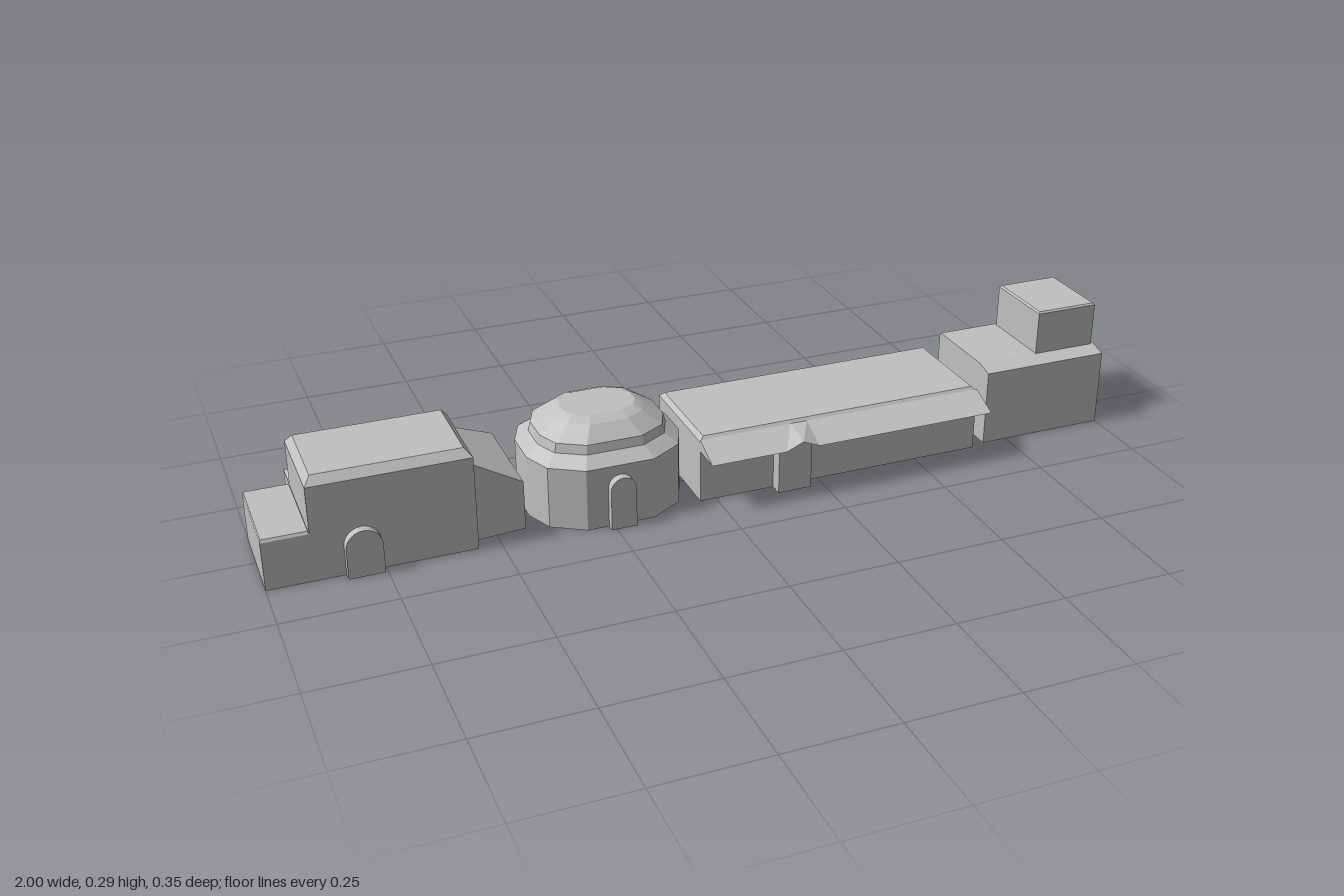
import * as THREE from 'three';

const stone = new THREE.MeshStandardMaterial({ color: 0xc0c0c0, side: THREE.DoubleSide, flatShading: true });
stone.name = 'grey stone';

// Flat-faced mesh from a list of convex polygons, corners counter-clockwise from outside
function faces(name, polygons) {
  const pos = [];
  for (const p of polygons)
    for (let i = 1; i < p.length - 1; i++) pos.push(...p[0], ...p[i], ...p[i + 1]);
  const g = new THREE.BufferGeometry();
  g.setAttribute('position', new THREE.Float32BufferAttribute(pos, 3));
  g.computeVertexNormals();
  const mesh = new THREE.Mesh(g, stone);
  mesh.name = name;
  return mesh;
}

// Open-bottomed shell through a stack of matching rings, capped on top
function loft(name, rings) {
  const polys = [];
  for (let r = 0; r < rings.length - 1; r++) {
    const lo = rings[r], hi = rings[r + 1];
    lo.forEach((a, i) => {
      const j = (i + 1) % lo.length;
      polys.push([a, lo[j], hi[j], hi[i]]);
    });
  }
  polys.push(rings[rings.length - 1]);
  return faces(name, polys);
}

const rect = (x0, x1, z0, z1, y) => [[x0, y, z1], [x1, y, z1], [x1, y, z0], [x0, y, z0]];

// Block with a bevelled top edge; bevel sizes in x, back, front and height
function block(name, x0, x1, z0, z1, top, bx, bb, bf, by) {
  return loft(name, [
    rect(x0, x1, z0, z1, 0),
    rect(x0, x1, z0, z1, top - by),
    rect(x0 + bx, x1 - bx, z0 + bb, z1 - bf, top),
  ]);
}

// Round-headed doorway projecting from a wall
function door(name, x, width, height, z0, z1) {
  const r = width / 2, s = new THREE.Shape();
  s.moveTo(-r, 0);
  s.lineTo(r, 0);
  s.lineTo(r, height - r);
  s.absarc(0, height - r, r, 0, Math.PI, false);
  s.lineTo(-r, 0);
  const g = new THREE.ExtrudeGeometry(s, { depth: z1 - z0, bevelEnabled: false, curveSegments: 6 });
  const mesh = new THREE.Mesh(g, stone);
  mesh.position.set(x, 0, z0);
  mesh.name = name;
  return mesh;
}

function group(name, ...parts) {
  const g = new THREE.Group();
  g.name = name;
  g.add(...parts);
  return g;
}

function hall() {
  const main = block('hallBlock', -0.9, -0.55, -0.104, 0.118, 0.237, 0.015, 0.015, 0.018, 0.018);
  const annex = block('hallAnnex', -1, -0.9, -0.104, 0.118, 0.118, 0.002, 0.004, 0.004, 0.006);
  // Lean-to wing wrapping the back and side, with a hip at the corner
  const xa = -0.9, xb = -0.55, xc = -0.433, zb = -0.173, zm = -0.104, low = 0.115, high = 0.187;
  const hip = [xb, high, zm], backEnd = [xa, low, zb], corner = [xc, low, zb];
  const innerEnd = [xa, low, zm], frontHigh = [xb, high, 0.083], frontLow = [xc, low, 0.073];
  const ground = ([x, , z]) => [x, 0, z];
  const wall = (a, b) => [ground(a), ground(b), b, a];
  const wing = faces('hallWing', [
    wall(corner, backEnd), wall(backEnd, innerEnd), wall(frontLow, corner), wall(frontHigh, frontLow),
    [innerEnd, hip, backEnd],
    [backEnd, hip, corner],
    [hip, frontHigh, frontLow, corner],
  ]);
  return group('hall', main, annex, wing, door('hallDoor', -0.794, 0.078, 0.108, 0.11, 0.138));
}

function dome() {
  const cx = -0.233, cz = -0.022;
  // Twelve-sided ring with half sizes a (x) and b (z)
  const ring = (a, b, y) => {
    const quarter = [[0.44, 1], [0.85, 0.71], [1, 0.29]];
    const front = [...quarter.map(([u, v]) => [u, v]), ...[...quarter].reverse().map(([u, v]) => [u, -v])];
    const all = [...front, ...front.map(([u, v]) => [-u, -v])];
    return all.map(([u, v]) => [cx + u * a, y, cz + v * b]);
  };
  const shell = loft('domeShell', [
    ring(0.177, 0.154, 0), ring(0.177, 0.154, 0.145), ring(0.148, 0.124, 0.167),
    ring(0.143, 0.12, 0.188), ring(0.1, 0.086, 0.218), ring(0.083, 0.062, 0.228),
  ]);
  return group('domedBuilding', shell, door('domeDoor', cx, 0.058, 0.123, 0.1, 0.151));
}

function gallery() {
  const x0 = -0.037, x1 = 0.655, px = 0.18, pw = 0.04;
  const body = block('galleryBody', x0, x1, -0.152, 0.103, 0.157, 0.01, 0.01, 0.01, 0.01);
  // Sloping canopy whose front edge lifts into a small gable over the porch
  const edge = [[x0, 0.124], [px - pw, 0.124], [px, 0.141], [px + pw, 0.124], [x1, 0.124]];
  const polys = [];
  for (let i = 0; i < edge.length - 1; i++) {
    const [xa, ya] = edge[i], [xb, yb] = edge[i + 1], zf = 0.173, zr = 0.102;
    polys.push([[xa, ya, zf], [xb, yb, zf], [xb, 0.152, zr]], [[xa, ya, zf], [xb, 0.152, zr], [xa, 0.152, zr]]);
    polys.push([[xa, ya - 0.001, zr], [xb, yb - 0.001, zr], [xb, yb - 0.001, zf], [xa, ya - 0.001, zf]]);
  }
  polys.push([[x1, 0.124, 0.173], [x1, 0.124, 0.102], [x1, 0.152, 0.102]]);
  polys.push([[x0, 0.124, 0.102], [x0, 0.124, 0.173], [x0, 0.152, 0.102]]);
  // Gabled porch under the canopy
  const s = new THREE.Shape([[-pw, 0], [pw, 0], [pw, 0.123], [0, 0.139], [-pw, 0.123]]
    .map(([x, y]) => new THREE.Vector2(x, y)));
  const porch = new THREE.Mesh(new THREE.ExtrudeGeometry(s, { depth: 0.034, bevelEnabled: false }), stone);
  porch.name = 'galleryPorch';
  porch.position.set(px, 0, 0.1);
  return group('gallery', body, faces('galleryCanopy', polys), porch);
}

function towerHouse() {
  const base = block('towerBase', 0.69, 1, -0.142, 0.092, 0.19, 0, 0.005, 0.042, 0.01);
  const tower = loft('tower', [
    rect(0.84, 0.993, -0.13, 0.052, 0.18),
    rect(0.84, 0.993, -0.13, 0.052, 0.291),
    rect(0.844, 0.989, -0.126, 0.048, 0.295),
  ]);
  return group('towerHouse', base, tower);
}

export function createModel() {
  return group('buildingRow', hall(), dome(), gallery(), towerHouse());
}
